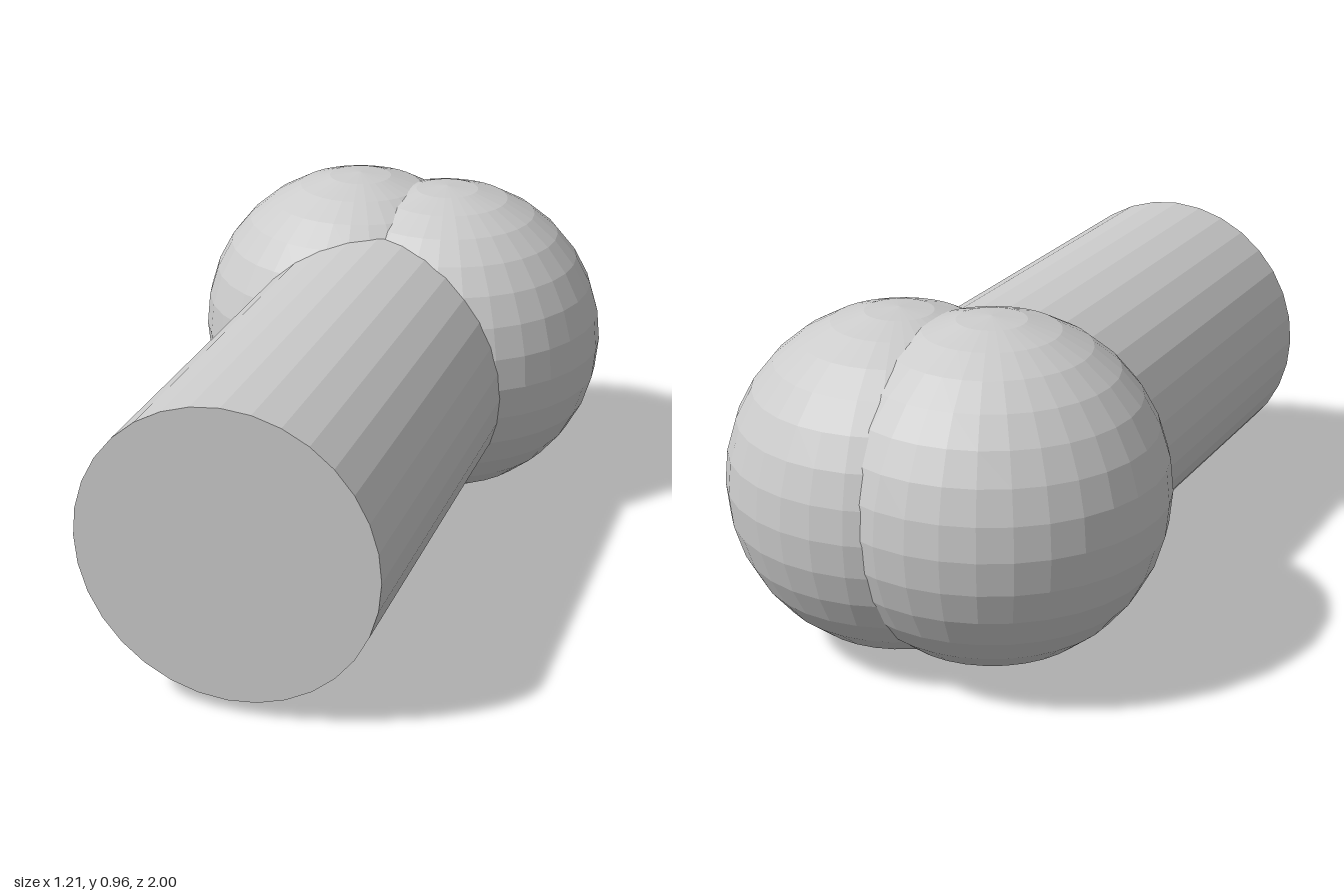
import * as THREE from 'three';

export function createModel() {
  const model = new THREE.Group();
  const material = new THREE.MeshStandardMaterial({ color: 0xcccccc, flatShading: true });

  function add(name, geometry, x, y, z) {
    const mesh = new THREE.Mesh(geometry, material);
    mesh.name = name;
    mesh.position.set(x, y, z);
    model.add(mesh);
    return mesh;
  }

  // Round shaft lying along z, turned very slightly; its back end sits inside the balls
  const shaftGeometry = new THREE.CylinderGeometry(0.405, 0.405, 1.5, 32);
  shaftGeometry.rotateX(Math.PI / 2);
  const shaft = add('shaft', shaftGeometry, -0.001, 0.447, 0.248);
  shaft.rotation.y = -0.005;

  // Two overlapping balls at the back, one a little higher than the other
  const ballGeometry = new THREE.SphereGeometry(0.472, 32, 16);
  add('leftBall', ballGeometry, 0.135, 0.474, -0.528);
  add('rightBall', ballGeometry, -0.136, 0.49, -0.527);

  return model;
}
